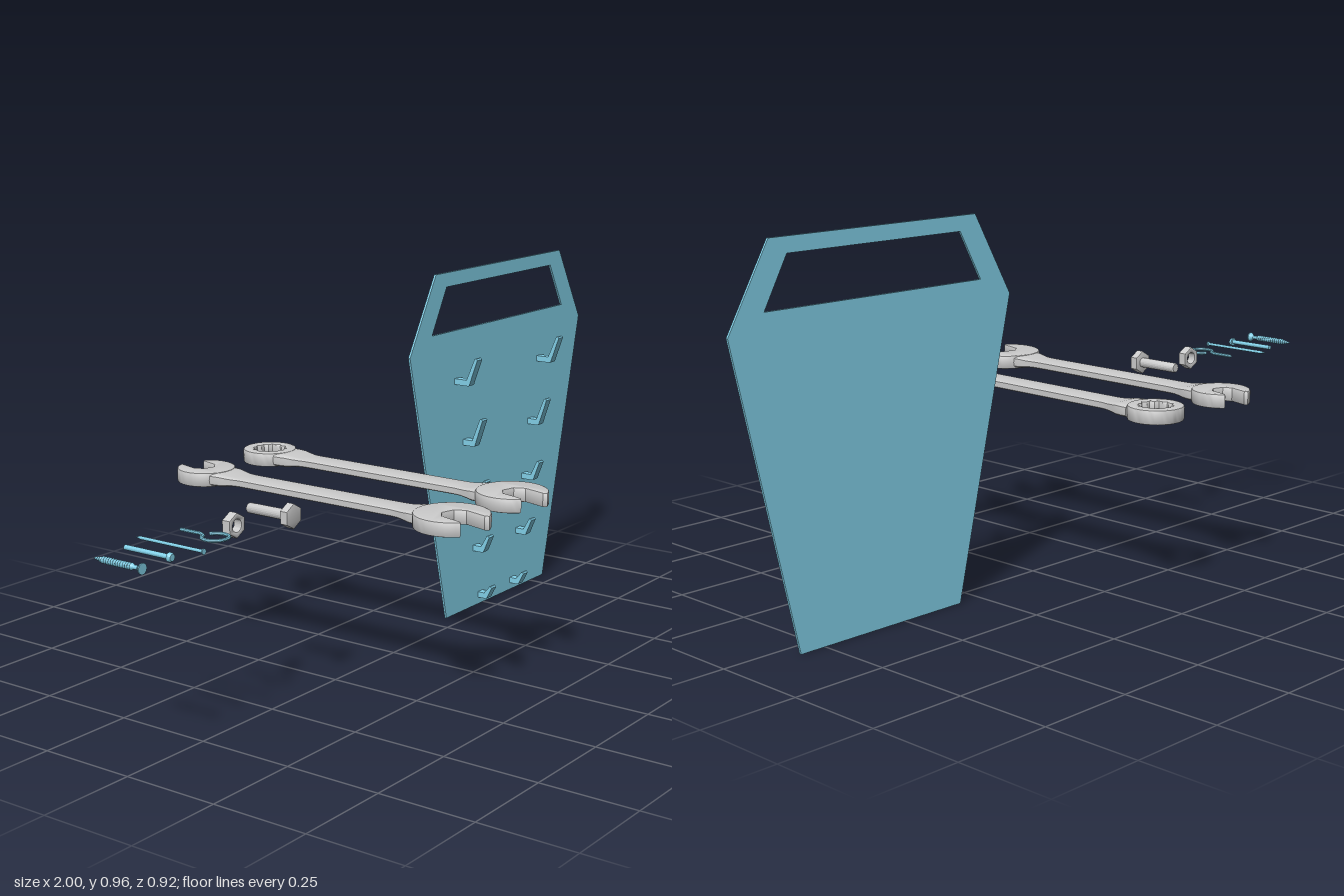
import * as THREE from 'three';
import { toCreasedNormals } from 'three/addons/utils/BufferGeometryUtils.js';

const grey = new THREE.MeshStandardMaterial({ color: 0xcccccc });
const blue = new THREE.MeshStandardMaterial({ color: 0x82d0e8 });
const AXIS_Y = 0.483; // height of the tools and fasteners

const V = (x, y) => new THREE.Vector2(x, y);

function add(parent, name, geometry, material, x = 0, y = 0, z = 0) {
  const mesh = new THREE.Mesh(toCreasedNormals(geometry, 0.6), material);
  mesh.name = name;
  mesh.position.set(x, y, z);
  parent.add(mesh);
  return mesh;
}

// Extrusion centred on its own depth, with a bevel that stays inside the outline
function slab(shape, depth, bevel = 0) {
  const g = new THREE.ExtrudeGeometry(shape, {
    depth: depth - 2 * bevel, bevelEnabled: bevel > 0, bevelSize: bevel,
    bevelThickness: bevel, bevelOffset: -bevel, bevelSegments: 2, curveSegments: 32,
  });
  return g.translate(0, 0, -(depth - 2 * bevel) / 2);
}

// Turned part along z, profile given as [radius, z] pairs
function turned(profile, segments = 16) {
  return new THREE.LatheGeometry(profile.map(([r, z]) => V(r, z)), segments).rotateX(Math.PI / 2);
}

function polygon(count, radius) {
  return Array.from({ length: count }, (_, i) => {
    const a = (i / count) * Math.PI * 2 + Math.PI / 2;
    const r = typeof radius === 'function' ? radius(i) : radius;
    return V(Math.cos(a) * r, Math.sin(a) * r);
  });
}

// Open jaw: round head with an angled slot opening towards +y
function jawShape(R) {
  const w = 0.4 * R, start = Math.PI / 2 + 0.5, pts = [];
  for (let i = 0; i <= 40; i++) {
    const a = start + (i / 40) * (Math.PI * 2 - 1.0);
    pts.push(V(Math.cos(a) * R, Math.sin(a) * R));
  }
  pts.push(V(w, 0.78 * R), V(w, 0.1 * R), V(w * 0.5, -0.15 * R),
    V(-w * 0.5, -0.15 * R), V(-w, 0.1 * R), V(-w, 0.78 * R));
  const tilt = 0.26;
  return new THREE.Shape(pts.map((p) => p.rotateAround(V(0, 0), tilt)));
}

function ringShape(R) {
  const shape = new THREE.Shape(polygon(48, R));
  shape.holes.push(new THREE.Path(polygon(24, (i) => R * (i % 2 ? 0.54 : 0.62)).reverse()));
  return shape;
}

// Shaft with a soft rectangular section that swells towards both heads
function shaftGeometry(z0, z1) {
  const g = new THREE.CylinderGeometry(1, 1, 1, 20, 36).rotateX(Math.PI / 2);
  const p = g.attributes.position;
  const soft = (v) => Math.sign(v) * Math.pow(Math.abs(v), 0.4);
  for (let i = 0; i < p.count; i++) {
    const t = p.getZ(i) + 0.5, z = z0 + (z1 - z0) * t;
    const end = Math.min(z - z0, z1 - z);
    const swell = 1 - THREE.MathUtils.smoothstep(end, 0.01, 0.1);
    const thick = 1 - THREE.MathUtils.smoothstep(end, 0.03, 0.07);
    p.setXYZ(i, soft(p.getX(i)) * (0.035 + 0.016 * swell),
      soft(p.getY(i)) * (0.0115 + 0.005 * thick), z);
  }
  g.computeVertexNormals();
  return g;
}

function wrench(name, x, bigR, bigZ, smallR, smallZ, ringEnd) {
  const group = new THREE.Group();
  group.name = name;
  group.position.set(x, AXIS_Y, 0);
  const flat = (shape) => slab(shape, 0.037, 0.005).rotateX(Math.PI / 2);
  add(group, 'openJaw', flat(jawShape(bigR)), grey, 0, 0, bigZ);
  const far = add(group, ringEnd ? 'ringEnd' : 'smallJaw',
    flat(ringEnd ? ringShape(smallR) : jawShape(smallR)), grey, 0, 0, smallZ);
  far.rotation.y = Math.PI;
  const inset = ringEnd ? 0.75 : 0.6;
  add(group, 'shaft', shaftGeometry(smallZ + inset * smallR, bigZ - 0.6 * bigR), grey);
  return group;
}

function pegboard() {
  const group = new THREE.Group();
  group.name = 'toolBoard';
  group.position.x = 0.568;
  const mirrored = (half) => [...half.map(([x, y]) => V(x, y)),
    ...half.slice().reverse().map(([x, y]) => V(-x, y))];
  // Panel with handle cut-out
  const shape = new THREE.Shape(mirrored([[0.253, 0], [0.43, 0.755], [0.313, 0.96]]));
  shape.holes.push(new THREE.Path(mirrored([[0.33, 0.8], [0.263, 0.922]])));
  add(group, 'panel', slab(shape, 0.006), blue, 0, 0, -0.05);

  // Hooks: [offset from centre, base y, top y, bend z, tip z]
  const rows = [
    [0.21, 0.653, 0.73, -0.003, 0.025], [0.166, 0.477, 0.556, -0.012, 0.015],
    [0.14, 0.32, 0.378, -0.011, 0.011], [0.111, 0.163, 0.213, -0.015, 0.006],
    [0.084, 0.02, 0.058, -0.02, -0.001],
  ];
  for (const [x, y, top, bend, tip] of rows) {
    const hook = new THREE.Shape([V(-0.049, y), V(bend, y), V(bend + 0.003, y + 0.003),
      V(tip, top - 0.004), V(tip - 0.003, top), V(tip - 0.008, top), V(tip - 0.01, top - 0.004),
      V(bend - 0.006, y + 0.016), V(-0.049, y + 0.016)]);
    for (const side of [-1, 1]) {
      add(group, 'hook', slab(hook, 0.024).rotateY(-Math.PI / 2), blue, side * x);
    }
  }
  return group;
}

function fasteners() {
  const group = new THREE.Group();
  group.name = 'fasteners';
  group.position.y = AXIS_Y;

  // Hex bolt
  const bolt = new THREE.Group();
  bolt.name = 'bolt';
  bolt.position.x = -0.471;
  add(bolt, 'boltHead', slab(new THREE.Shape(polygon(6, 0.031)), 0.021, 0.002), grey, 0, 0, 0.042);
  add(bolt, 'boltShank', turned([[0, -0.085], [0.011, -0.085], [0.013, -0.082], [0.013, 0.035]], 20), grey);
  group.add(bolt);

  // Hex nut
  const nut = new THREE.Shape(polygon(6, 0.031));
  nut.holes.push(new THREE.Path(polygon(24, 0.015).reverse()));
  add(group, 'nut', slab(nut, 0.024, 0.003), grey, -0.61, 0, -0.015);

  // Screw eye: straight shank curling into an open loop
  const path = [new THREE.Vector3(0.003, 0, -0.088), new THREE.Vector3(0.003, 0, -0.05),
    new THREE.Vector3(0.003, 0, -0.03)];
  for (let i = 0; i <= 14; i++) {
    const a = -Math.PI / 2 - 0.25 - (i / 14) * 5.5;
    path.push(new THREE.Vector3(Math.cos(a) * 0.031, 0, 0.018 + Math.sin(a) * 0.031));
  }
  add(group, 'screwEye', new THREE.TubeGeometry(new THREE.CatmullRomCurve3(path), 80, 0.0045, 8),
    blue, -0.711);
  add(group, 'screwEyeTip', turned([[0, -0.094], [0.0045, -0.087], [0, -0.087]], 8), blue, -0.708);
  add(group, 'screwEyeEnd', new THREE.SphereGeometry(0.0045, 8, 6), blue,
    -0.711 + path.at(-1).x, 0, path.at(-1).z);

  // Nail
  add(group, 'nail', turned([[0, -0.13], [0.004, -0.115], [0.004, 0.07], [0.007, 0.072],
    [0.007, 0.075], [0, 0.075]], 12), blue, -0.813);

  // Round-headed pin
  add(group, 'pin', turned([[0, -0.09], [0.006, -0.09], [0.006, 0.04], [0.011, 0.04],
    [0.011, 0.045], [0.008, 0.05], [0, 0.052]]), blue, -0.888);

  // Threaded screw with countersunk head
  const profile = [[0, -0.09]];
  for (let i = 0; i < 16; i++) {
    const z = -0.085 + i * 0.007, taper = Math.min(1, 0.4 + i * 0.2);
    profile.push([0.005 * taper, z], [0.0085 * taper, z + 0.0035]);
  }
  profile.push([0.005, 0.03], [0.005, 0.042], [0.013, 0.052], [0.013, 0.055], [0, 0.055]);
  add(group, 'screw', turned(profile), blue, -0.987);
  return group;
}

export function createModel() {
  const model = new THREE.Group();
  model.name = 'toolSet';
  model.add(
    pegboard(),
    wrench('doubleOpenWrench', -0.277, 0.093, 0.367, 0.074, -0.39, false),
    wrench('combinationWrench', -0.02, 0.09, 0.37, 0.07, -0.392, true),
    fasteners(),
  );
  return model;
}
